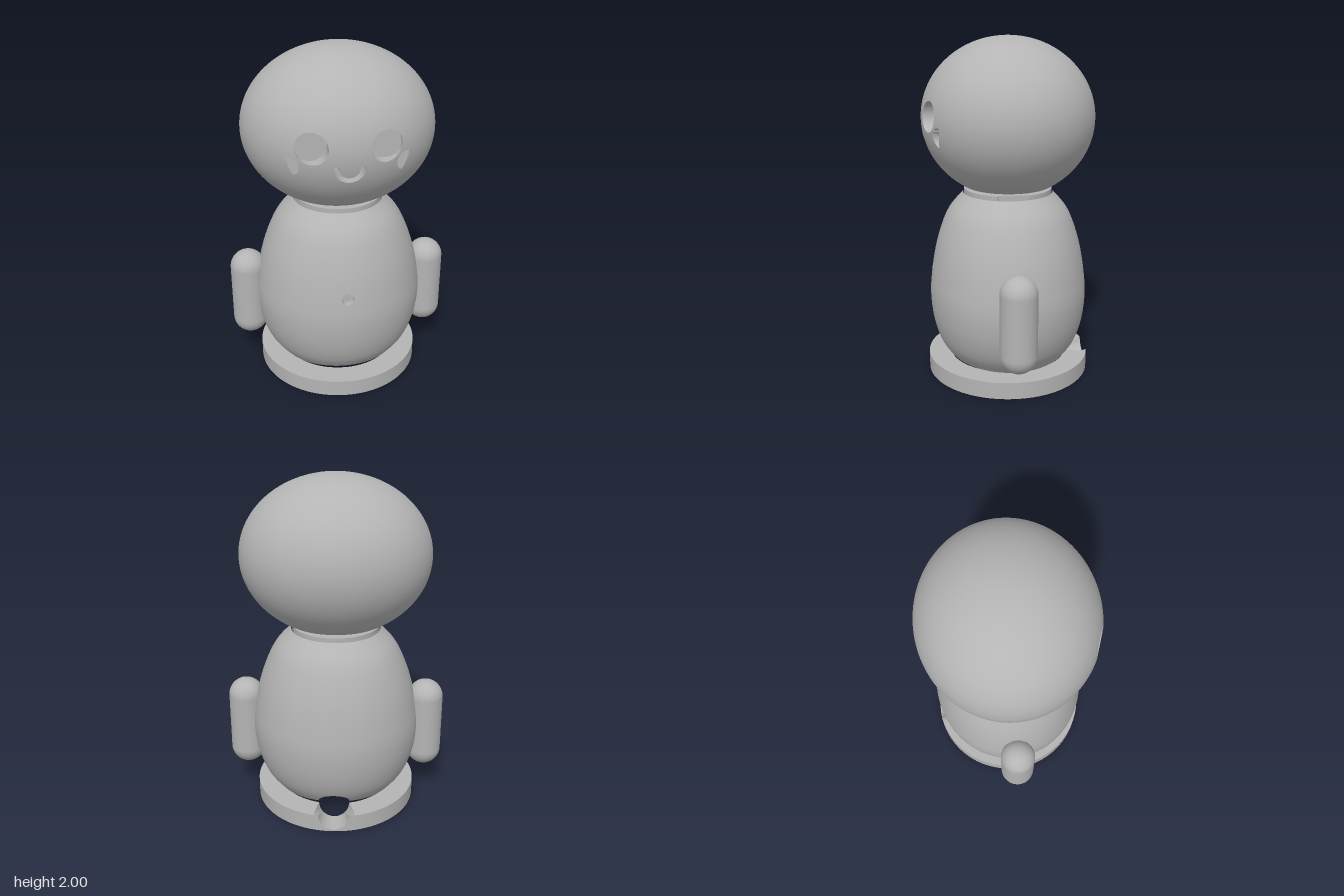
import * as THREE from 'three';
import { toCreasedNormals } from 'three/addons/utils/BufferGeometryUtils.js';
import { ParametricGeometry } from 'three/addons/geometries/ParametricGeometry.js';

const grey = new THREE.MeshStandardMaterial({ color: 0xb4b4b4 });
const TAU = Math.PI * 2;

function add(parent, name, geometry) {
  const mesh = new THREE.Mesh(geometry, grey);
  mesh.name = name;
  parent.add(mesh);
  return mesh;
}

// Sinks the area where f < 0 to the floor given by sink(), with walls along its edge
function carve(geometry, f, sink) {
  const pos = (geometry.index ? geometry.toNonIndexed() : geometry).attributes.position;
  const out = [];
  const tri = (...points) => points.forEach((p) => out.push(p.x, p.y, p.z));
  const fan = (poly) => {
    for (let k = 1; k + 1 < poly.length; k++) tri(poly[0], poly[k], poly[k + 1]);
  };
  for (let i = 0; i < pos.count; i += 3) {
    const v = [0, 1, 2].map((k) => new THREE.Vector3().fromBufferAttribute(pos, i + k));
    const d = v.map(f);
    const outer = [], inner = [];
    let entry, exit;
    for (let k = 0; k < 3; k++) {
      const n = (k + 1) % 3;
      (d[k] < 0 ? inner : outer).push(v[k]);
      if ((d[k] < 0) !== (d[n] < 0)) {
        const cross = v[k].clone().lerp(v[n], d[k] / (d[k] - d[n]));
        outer.push(cross);
        inner.push(cross);
        if (d[k] < 0) exit = cross; else entry = cross;
      }
    }
    fan(outer);
    fan(inner.map(sink));
    if (entry) {
      tri(exit, entry, sink(entry));
      tri(exit, sink(entry), sink(exit));
    }
  }
  const result = new THREE.BufferGeometry();
  result.setAttribute('position', new THREE.Float32BufferAttribute(out, 3));
  return toCreasedNormals(result, 0.5);
}

// Body outline: radius along x at each height
const outline = new THREE.SplineCurve([
  [0.36, 0.1], [0.435, 0.2], [0.482, 0.33], [0.5, 0.48], [0.487, 0.62], [0.455, 0.77],
  [0.405, 0.91], [0.35, 1.01], [0.265, 1.1],
].map(([r, y]) => new THREE.Vector2(r, y))).getPoints(240);

function radiusAt(y) {
  let i = 1;
  while (i < outline.length - 1 && outline[i].y < y) i++;
  const a = outline[i - 1], b = outline[i];
  return THREE.MathUtils.mapLinear(y, a.y, b.y, a.x, b.x);
}

// Height of the arched bottom edge, raised over the round cable hole at the back
const HOLE = 0.09;
function bottomAt(angle) {
  const x = 0.36 * Math.sin(angle), c = Math.cos(angle);
  const arch = 0.1 + 0.02 * c * c;
  return c < 0 && Math.abs(x) < HOLE ? Math.max(arch, 0.1 + Math.sqrt(HOLE * HOLE - x * x)) : arch;
}

function bodyPoint(angle, y, inset, target) {
  const r = radiusAt(y) - inset;
  const depth = 0.935 + 0.06 * ((y - 0.48) / 0.62) ** 2;
  target.set(r * Math.sin(angle), y, r * Math.cos(angle) * depth);
}

function buildBody(group) {
  const rows = 100, wall = 0.03;
  // Outside, including the narrow rim at the bottom
  const outside = new ParametricGeometry((u, v, target) => {
    const angle = u * TAU, row = Math.round(v * rows), low = bottomAt(angle);
    const t = Math.max(0, row - 1) / (rows - 1);
    bodyPoint(angle, THREE.MathUtils.lerp(low, 1.1, t), row === 0 ? wall : 0, target);
  }, 200, rows);
  const navel = (p) => Math.max(Math.hypot(p.x, p.y - 0.65) - 0.035, -p.z);
  const socket = (p) => Math.max(Math.hypot(p.z, p.y - 0.69) - 0.045, 0.43 - Math.abs(p.x));
  const carved = carve(outside, (p) => Math.min(navel(p), socket(p)), (p) => (
    Math.abs(p.x) < 0.2
      ? new THREE.Vector3(p.x, p.y, 0.42)
      : new THREE.Vector3(Math.sign(p.x) * 0.445, p.y, p.z)));
  add(group, 'body', carved);

  // Hollow inside
  const inside = new ParametricGeometry((u, v, target) => {
    const angle = -u * TAU;
    const t = Math.min(1, v * 30 / 29);
    bodyPoint(angle, THREE.MathUtils.lerp(bottomAt(angle), 1.05, t), wall, target);
    if (v > 0.999) target.set(0, 1.05, 0);
  }, 200, 30);
  add(group, 'bodyInside', toCreasedNormals(inside, 0.5));

  // Neck disc with a shallow key slot on its left side
  const neck = new THREE.CylinderGeometry(0.258, 0.258, 0.045, 128);
  const p = neck.attributes.position;
  for (let i = 0; i < p.count; i++) {
    if (p.getX(i) > 0.235 && Math.abs(p.getZ(i)) < 0.08) p.setX(i, 0.235);
  }
  neck.translate(0, 1.1025, 0);
  add(group, 'neck', toCreasedNormals(neck, 0.5));
}

function buildHead(group) {
  const cut = Math.acos(-0.395 / 0.46);
  const shell = new THREE.SphereGeometry(1, 240, 140, 0, TAU, 0, cut);
  shell.scale(0.55, 0.46, 0.5).translate(0, 1.54, 0);
  // Eyes, cheeks and smile are pockets with one common flat floor
  const floor = 0.403;
  const face = (p) => {
    const x = Math.abs(p.x);
    const eye = Math.hypot(x - 0.195, p.y - 1.57) - 0.086;
    const cheek = Math.hypot(x - 0.316, p.y - 1.463) - 0.06;
    const smile = Math.max(Math.abs(Math.hypot(x, p.y - 1.463) - 0.07) - 0.015, p.y - 1.476);
    return Math.max(Math.min(eye, cheek, smile), floor - p.z);
  };
  add(group, 'head', carve(shell, face, (p) => new THREE.Vector3(p.x, p.y, floor)));

  // Flat underside
  const s = Math.sin(cut);
  const under = new THREE.CircleGeometry(1, 96).rotateX(Math.PI / 2);
  under.scale(0.55 * s, 1, 0.5 * s).translate(0, 1.145, 0);
  add(group, 'headUnderside', under);
}

function buildBase(group) {
  // Ring whose top dips into a round cable notch at the back
  const section = [[0.35, 0], [0.485, 0], [0.485, 0.1], [0.35, 0.1], [0.35, 0]];
  const ring = new THREE.LatheGeometry(section.map(([r, y]) => new THREE.Vector2(r, y)), 360);
  const p = ring.attributes.position;
  for (let i = 0; i < p.count; i++) {
    const x = p.getX(i);
    if (p.getY(i) > 0.05 && p.getZ(i) < 0 && Math.abs(x) < HOLE) {
      p.setY(i, 0.1 - Math.sqrt(HOLE * HOLE - x * x));
    }
  }
  add(group, 'baseRing', toCreasedNormals(ring, 0.5));
}

export function createModel() {
  const model = new THREE.Group();
  model.name = 'figurine';
  buildBase(model);
  buildBody(model);
  buildHead(model);
  for (const [side, name] of [[1, 'leftArm'], [-1, 'rightArm']]) {
    const arm = add(model, name, new THREE.CapsuleGeometry(0.105, 0.35, 16, 48));
    arm.position.set(side * 0.548, 0.478, 0);
  }
  return model;
}
